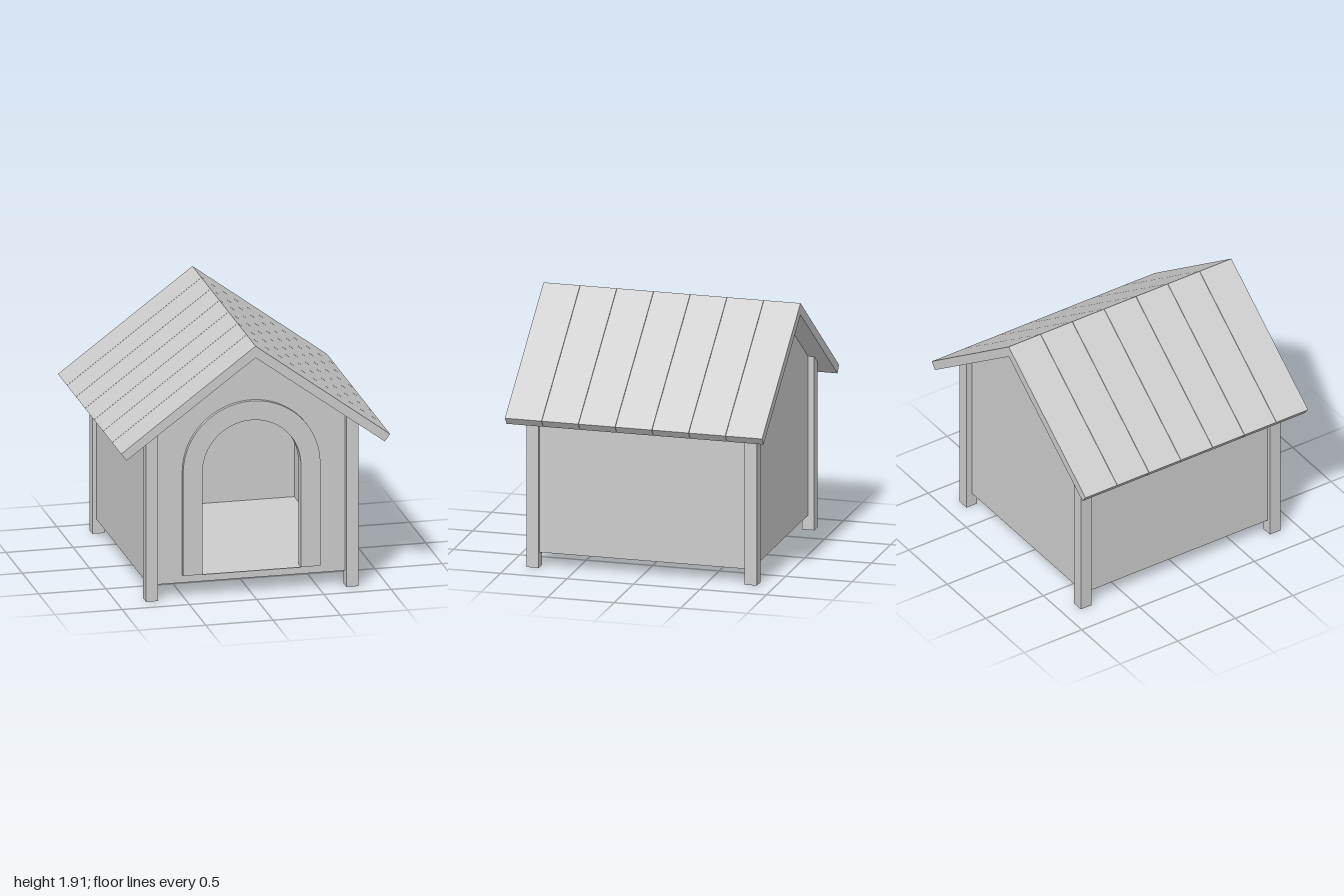
import * as THREE from 'three';

const material = new THREE.MeshStandardMaterial({ color: 0xcccccc, flatShading: true });
const SLOPE = 0.74, RIDGE = 1.825; // underside of the roof
const roofY = (x) => RIDGE - SLOPE * Math.abs(x);

const polygon = (points, Type = THREE.Shape) => new Type(points.map(([x, y]) => new THREE.Vector2(x, y)));

// round-topped outline standing on y = 0.17
function arch(Type, r) {
  const s = new Type();
  s.moveTo(-r, 0.17);
  s.lineTo(r, 0.17);
  s.lineTo(r, 0.95);
  s.absarc(0, 0.95, r, 0, Math.PI, false);
  s.lineTo(-r, 0.17);
  return s;
}

export function createModel() {
  const model = new THREE.Group();
  model.name = 'kennel';

  // extrude an xy outline between two depths
  const slab = (name, shape, z0, z1) => {
    const geometry = new THREE.ExtrudeGeometry(shape, { depth: z1 - z0, bevelEnabled: false, curveSegments: 40 });
    geometry.translate(0, 0, z0);
    const mesh = new THREE.Mesh(geometry, material);
    mesh.name = name;
    model.add(mesh);
  };

  // gable walls, the front one with a doorway
  const gable = () => polygon([[-0.76, 0.11], [0.76, 0.11], [0.76, roofY(0.76)], [0, RIDGE], [-0.76, roofY(0.76)]]);
  const front = gable();
  front.holes.push(arch(THREE.Path, 0.365));
  slab('frontWall', front, 0.77, 0.82);
  slab('backWall', gable(), -0.82, -0.77);

  // raised door surround
  const surround = arch(THREE.Shape, 0.51);
  surround.holes.push(arch(THREE.Path, 0.365));
  slab('doorSurround', surround, 0.82, 0.85);

  // floor
  slab('floor', polygon([[-0.71, 0.11], [0.71, 0.11], [0.71, 0.17], [-0.71, 0.17]]), -0.77, 0.77);

  // side walls and corner posts, cut to the roof slope
  const upright = (a, b, bottom) => polygon([[a, bottom], [b, bottom], [b, roofY(b)], [a, roofY(a)]]);
  for (const [side, s] of [['left', 1], ['right', -1]]) {
    const [a, b] = s > 0 ? [0.71, 0.76] : [-0.76, -0.71];
    slab(side + 'Wall', upright(a, b, 0.11), -0.77, 0.77);
    const [c, d] = s > 0 ? [0.7, 0.79] : [-0.79, -0.7];
    slab(side + 'FrontPost', upright(c, d, 0), 0.775, 0.867);
    slab(side + 'BackPost', upright(c, d, 0), -0.867, -0.775);
  }

  // roof of seven folded planks with fine gaps
  const fold = polygon([[0, RIDGE], [0.96, 1.117], [1, 1.17], [0, 1.913], [-1, 1.17], [-0.96, 1.117]]);
  const count = 7, half = 0.967, step = 2 * half / count, gap = 0.0015;
  for (let i = 0; i < count; i++) {
    const z = -half + i * step;
    slab('roofPlank' + (i + 1), fold, z + (i ? gap : 0), z + step - (i < count - 1 ? gap : 0));
  }
  return model;
}
